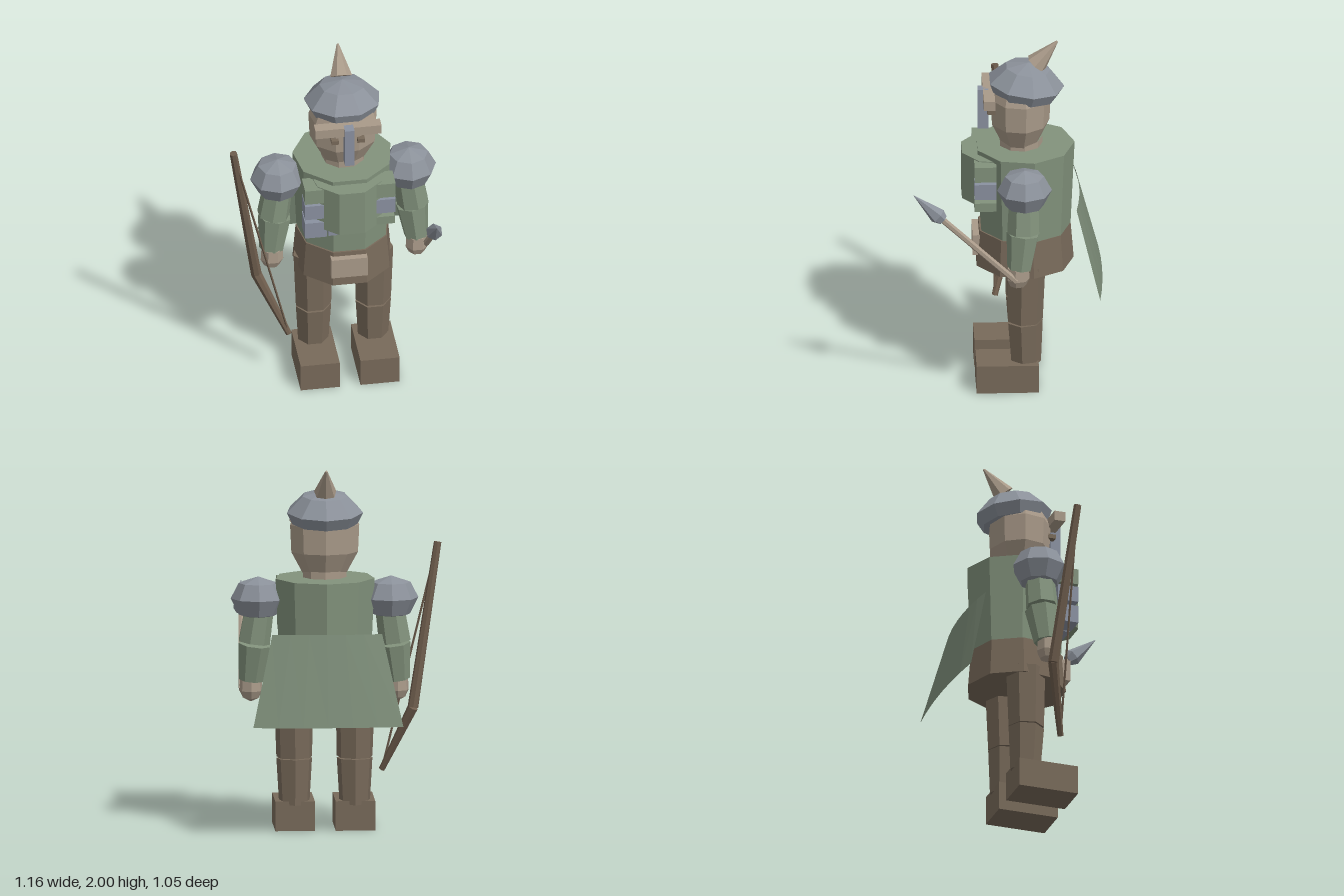
import * as THREE from 'three';

const mat = (name, color) => {
  const m = new THREE.MeshStandardMaterial({ color });
  m.name = name;
  return m;
};

export function createModel() {
  const green = mat('tunic green', 0x82927c);
  const capeGreen = mat('cape green', 0x7c8c78);
  capeGreen.side = THREE.DoubleSide;
  const brown = mat('leather brown', 0x786a5a);
  const tan = mat('skin tan', 0xa99a89);
  const steel = mat('steel', 0x8b919a);
  const slate = mat('slate pouch', 0x8a91a0);
  const wood = mat('bow wood', 0x6e5d4d);

  const model = new THREE.Group();
  const CX = 0.07; // the body's own middle line
  const V = (x, y, z) => new THREE.Vector3(x, y, z);

  // Adds a faceted mesh
  const add = (name, geometry, material, x = 0, y = 0, z = 0) => {
    const g = geometry.index ? geometry.toNonIndexed() : geometry;
    g.computeVertexNormals();
    const mesh = new THREE.Mesh(g, material);
    mesh.name = name;
    mesh.position.set(x, y, z);
    model.add(mesh);
    return mesh;
  };
  // Box given by its limits
  const box = (name, m, x0, x1, y0, y1, z0, z1) =>
    add(name, new THREE.BoxGeometry(x1 - x0, y1 - y0, z1 - z0), m, (x0 + x1) / 2, (y0 + y1) / 2, (z0 + z1) / 2);
  // Faceted lathe with one corner at the back; profile runs bottom to top
  const turned = (name, m, profile, sides, x, y, z) =>
    add(name, new THREE.LatheGeometry(profile.map(([r, h]) => new THREE.Vector2(r, h)), sides, Math.PI), m, x, y, z);
  // Tapered rod from a to b
  const rod = (name, m, a, b, ra, rb, sides = 7) => {
    const d = b.clone().sub(a);
    const geometry = new THREE.CylinderGeometry(rb, ra, d.length(), sides, 1, false, Math.PI);
    const mesh = add(name, geometry, m);
    mesh.position.copy(a).add(b).multiplyScalar(0.5);
    mesh.quaternion.setFromUnitVectors(V(0, 1, 0), d.normalize());
    return mesh;
  };

  // Torso, hips and chest plate
  turned('torso', green, [[0, 0.88], [0.252, 0.88], [0.275, 1.39], [0, 1.39]], 9, CX, 0, -0.1);
  turned('hips', brown, [[0, 0.69], [0.275, 0.69], [0.258, 0.9], [0, 0.9]], 9, CX, 0, -0.095);
  turned('chestPlate', green, [[0, 1.09], [0.205, 1.09], [0.205, 1.365], [0, 1.365]], 9, CX, 0, 0.05);
  box('buckle', tan, -0.035, 0.165, 0.755, 0.875, 0.1, 0.185);

  // Chest pads and pouches
  for (const x of [-0.18, 0.195]) {
    box('shoulderPad', green, x, x + 0.125, 1.27, 1.36, 0.06, 0.18);
    box('pouch', slate, x, x + 0.125, 1.165, 1.255, 0.06, 0.18);
  }
  box('lowerPouch', slate, -0.18, -0.06, 1.04, 1.14, 0.06, 0.18);
  box('middlePouch', slate, -0.05, 0.07, 1.04, 1.09, 0.08, 0.175);
  box('lowerPad', green, 0.195, 0.315, 1.09, 1.14, 0.06, 0.18);

  // Neck, head and face
  turned('neck', tan, [[0.12, 1.37], [0.12, 1.43]], 9, CX, 0, -0.08);
  const head = turned('head', tan,
    [[0, 1.41], [0.12, 1.41], [0.185, 1.53], [0.192, 1.68], [0.165, 1.75], [0, 1.77]], 9, CX, 0, -0.075);
  head.scale.z = 0.88;
  box('brow', tan, -0.115, 0.25, 1.67, 1.725, 0.065, 0.127);
  box('noseGuard', slate, 0.045, 0.097, 1.49, 1.725, 0.097, 0.155);
  for (const s of [-1, 1]) {
    box('eye', brown, CX + s * 0.072 - 0.02, CX + s * 0.072 + 0.02, 1.603, 1.627, 0.06, 0.105);
  }

  // Helmet, leaning back, with its horn
  const helmet = turned('helmet', steel,
    [[0, -0.08], [0.18, -0.08], [0.212, -0.015], [0.125, 0.075], [0, 0.105]], 9, CX, 1.77, -0.11);
  helmet.rotation.x = -0.12;
  rod('horn', tan, V(CX, 1.865, -0.165), V(CX, 2, -0.28), 0.062, 0.006);

  for (const s of [-1, 1]) {
    const X = (d) => CX + s * d;
    // Arm with shoulder guard and hand
    turned('shoulderGuard', steel,
      [[0, -0.115], [0.105, -0.09], [0.15, 0], [0.106, 0.085], [0, 0.12]], 8, X(0.363), 1.275, -0.088);
    rod('upperArm', green, V(X(0.35), 1.28, -0.085), V(X(0.387), 1.03, -0.08), 0.08, 0.09);
    rod('forearm', green, V(X(0.378), 1.02, -0.08), V(X(0.4), 0.82, -0.06), 0.092, 0.068);
    turned('hand', tan, [[0, 0.7], [0.045, 0.72], [0.064, 0.76], [0.06, 0.83], [0, 0.83]], 7, X(0.4), 0, -0.05);

    // Leg and boot
    rod('thigh', brown, V(X(0.165), 0.4, -0.095), V(X(0.168), 0.74, -0.1), 0.1, 0.11);
    rod('shin', brown, V(X(0.165), 0.14, -0.1), V(X(0.165), 0.392, -0.095), 0.085, 0.1);
    box('boot', brown, X(0.165) - 0.108, X(0.165) + 0.108, 0, 0.163, -0.17, 0.17);
  }

  // Bow with its string
  const top = V(-0.555, 1.56, 0.04), bend = V(-0.415, 0.66, -0.05), foot = V(-0.25, 0.305, 0.05);
  rod('bowUpperLimb', wood, bend, top, 0.03, 0.021);
  rod('bowLowerLimb', wood, foot, bend, 0.017, 0.03);
  rod('bowString', wood, foot, top, 0.006, 0.006, 4);

  // Arrow held forward
  const tip = V(0.495, 1.285, 0.52), tail = V(0.52, 0.765, -0.04);
  const neck = tip.clone().lerp(tail, 0.235);
  const flare = tip.clone().lerp(tail, 0.285);
  rod('arrowShaft', tan, tail, neck, 0.018, 0.018, 6);
  rod('arrowHead', steel, neck, tip, 0.047, 0.001, 6);
  rod('arrowHeadBack', steel, flare, neck, 0.03, 0.047, 6);

  // Cape: flaring sheet bowed backwards
  const cape = new THREE.PlaneGeometry(2, 1, 6, 1);
  const p = cape.attributes.position;
  for (let i = 0; i < p.count; i++) {
    const u = p.getX(i), t = 0.5 - p.getY(i);
    p.setXYZ(i, CX + u * (0.3 + 0.11 * t), 1.115 - 0.495 * t, -0.4 - 0.125 * t + 0.025 * u * u);
  }
  add('cape', cape, capeGreen);

  return model;
}
